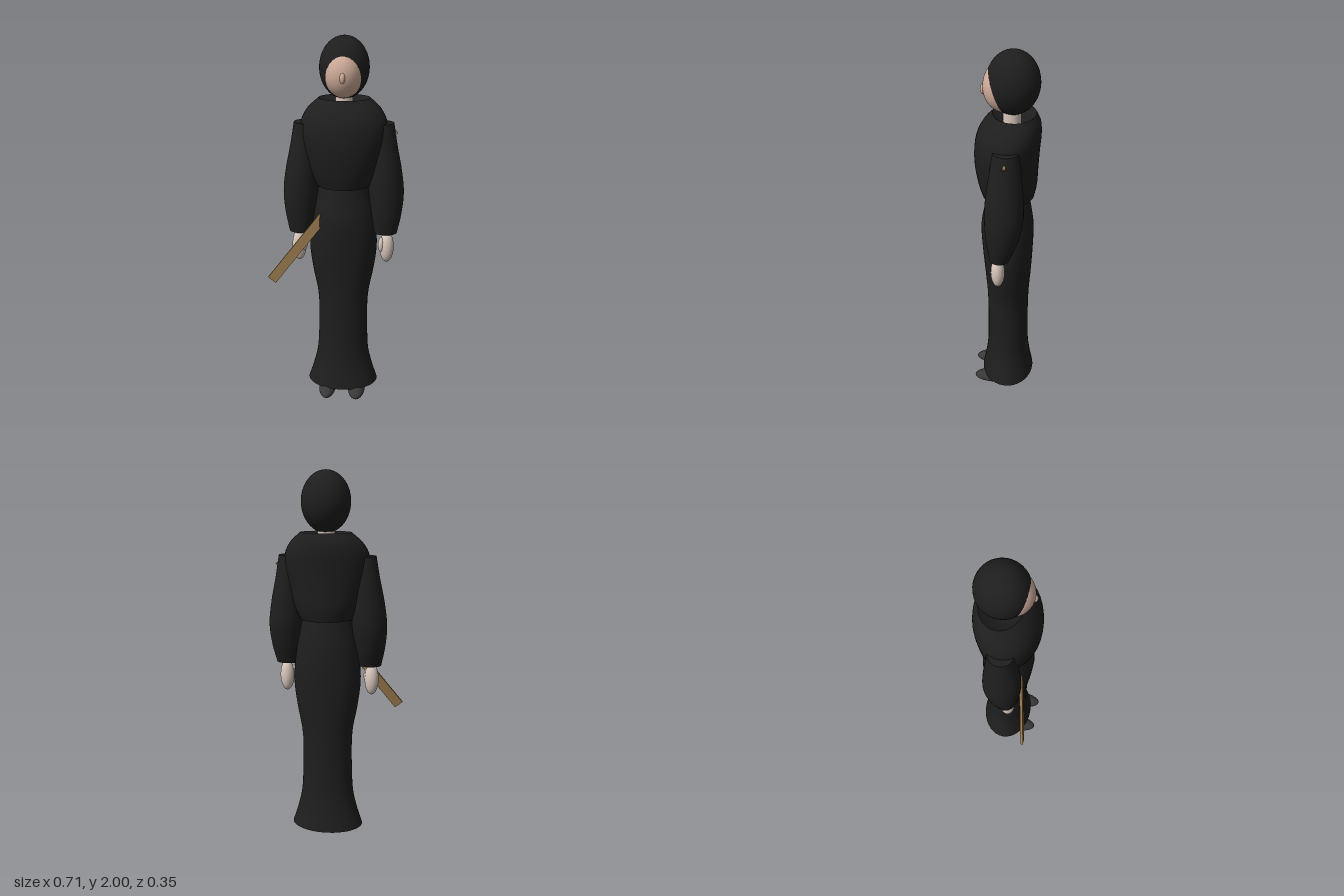
import * as THREE from 'three';

const CX = 0.036; // the figure's own centre line
const mat = (name, color) => {
  const m = new THREE.MeshStandardMaterial({ color });
  m.name = name;
  return m;
};

// Smooth elliptical loft. Rings run upward: [y, x, z, radiusX, radiusZ]; ends close at capDip above/below.
function loft(rings, dipBottom = 0, dipTop = 0, steps = 28, seg = 40) {
  const path = (a, b) => new THREE.CatmullRomCurve3(rings.map((r) => new THREE.Vector3(r[a], r[b], r[0])));
  const centre = path(1, 2), radius = path(3, 4);
  const pos = [], index = [];
  const ring = (t) => {
    const c = centre.getPoint(t), r = radius.getPoint(t);
    for (let j = 0; j < seg; j++) {
      const a = (j / seg) * Math.PI * 2;
      pos.push(c.x + Math.sin(a) * r.x, c.z, c.y + Math.cos(a) * r.y);
    }
    return c;
  };
  for (let i = 0; i <= steps; i++) ring(i / steps);
  for (let i = 0; i < steps; i++) {
    for (let j = 0; j < seg; j++) {
      const k = (j + 1) % seg, a = i * seg, b = a + seg;
      index.push(a + j, a + k, b + k, a + j, b + k, b + j);
    }
  }
  // Caps use their own vertices so the rims stay sharp
  for (const top of [0, 1]) {
    const start = pos.length / 3;
    const c = ring(top);
    pos.push(c.x, c.z + (top ? dipTop : dipBottom), c.y);
    for (let j = 0; j < seg; j++) {
      const k = (j + 1) % seg;
      index.push(start + seg, start + (top ? j : k), start + (top ? k : j));
    }
  }
  const g = new THREE.BufferGeometry();
  g.setAttribute('position', new THREE.Float32BufferAttribute(pos, 3));
  g.setIndex(index);
  g.computeVertexNormals();
  return g;
}

export function createModel() {
  const model = new THREE.Group();
  const robe = mat('black robe cloth', 0x1e1e1e);
  const face = mat('face skin', 0xd2ae9c);
  const skin = mat('pale skin', 0xdac8bd);
  const shoe = mat('dark grey shoe', 0x383838);
  const wood = mat('brown wood', 0x94744a);

  const add = (name, geometry, material) => {
    const m = new THREE.Mesh(geometry, material);
    m.name = name;
    model.add(m);
    return m;
  };
  const ellipsoid = (name, material, p, r) => {
    const m = add(name, new THREE.SphereGeometry(1, 40, 28), material);
    m.position.set(...p);
    m.scale.set(...r);
    return m;
  };

  // Skirt with a flared hem
  add('skirt', loft([
    [0.06, CX, -0.012, 0.197, 0.147],
    [0.15, CX, -0.012, 0.168, 0.13],
    [0.25, CX, -0.012, 0.145, 0.117],
    [0.38, CX, -0.012, 0.137, 0.113],
    [0.6, CX, -0.012, 0.138, 0.114],
    [0.75, CX, -0.012, 0.165, 0.124],
    [0.9, CX, -0.01, 0.182, 0.134],
    [1.06, CX, -0.008, 0.168, 0.138],
    [1.17, CX, -0.01, 0.146, 0.12],
    [1.25, CX, -0.01, 0.132, 0.106],
  ], 0.03), robe);

  // Bodice, overhanging the waist, with a hollow collar
  add('bodice', loft([
    [1.235, CX, -0.013, 0.143, 0.133],
    [1.3, CX, -0.01, 0.176, 0.149],
    [1.4, CX, -0.004, 0.205, 0.16],
    [1.5, CX, -0.006, 0.225, 0.164],
    [1.58, CX, -0.016, 0.221, 0.16],
    [1.64, CX, -0.03, 0.188, 0.142],
    [1.688, CX, -0.042, 0.134, 0.108],
  ], 0, -0.09), robe);

  // Neck, hooded head and face
  const neck = add('neck', new THREE.CylinderGeometry(0.046, 0.046, 0.16, 28), skin);
  neck.position.set(CX, 1.66, -0.03);
  ellipsoid('hood', robe, [CX, 1.842, -0.035], [0.128, 0.158, 0.132]);
  ellipsoid('face', face, [CX, 1.821, 0.008], [0.1, 0.128, 0.105]);
  ellipsoid('nose', face, [CX, 1.806, 0.11], [0.014, 0.027, 0.014]);

  // Sleeves, hands and shoes on both sides
  for (const [side, s] of [['left', 1], ['right', -1]]) {
    const x = (d) => CX + s * d;
    add(side + 'Sleeve', loft([
      [0.98, x(0.226), 0.022, 0.062, 0.052],
      [1.08, x(0.228), 0.01, 0.081, 0.08],
      [1.2, x(0.226), 0, 0.093, 0.097],
      [1.32, x(0.219), -0.002, 0.086, 0.094],
      [1.45, x(0.207), -0.006, 0.072, 0.079],
      [1.567, x(0.197), -0.009, 0.062, 0.064],
    ]), robe);
    ellipsoid(side + 'Hand', skin, [x(0.236), 0.9, 0.031], [0.038, 0.086, 0.036]);
    ellipsoid(side + 'Thumb', skin, [x(0.206), 0.915, 0.045], [0.016, 0.042, 0.018]);
    ellipsoid(side + 'Shoe', shoe, [x(0.083), 0.036, 0.06], [0.048, 0.035, 0.118]);
  }

  // Flat wooden staff running diagonally through the figure
  const low = new THREE.Vector3(-0.338, 0.732, 0.14);
  const high = new THREE.Vector3(0.296, 1.535, -0.004);
  const staff = add('staff', new THREE.BoxGeometry(0.052, low.distanceTo(high), 0.014), wood);
  const up = high.clone().sub(low).normalize();
  const across = new THREE.Vector3().crossVectors(up, new THREE.Vector3(0, 0, 1)).normalize();
  const out = new THREE.Vector3().crossVectors(across, up);
  staff.quaternion.setFromRotationMatrix(new THREE.Matrix4().makeBasis(across, up, out));
  staff.position.copy(low).add(high).multiplyScalar(0.5);

  return model;
}
